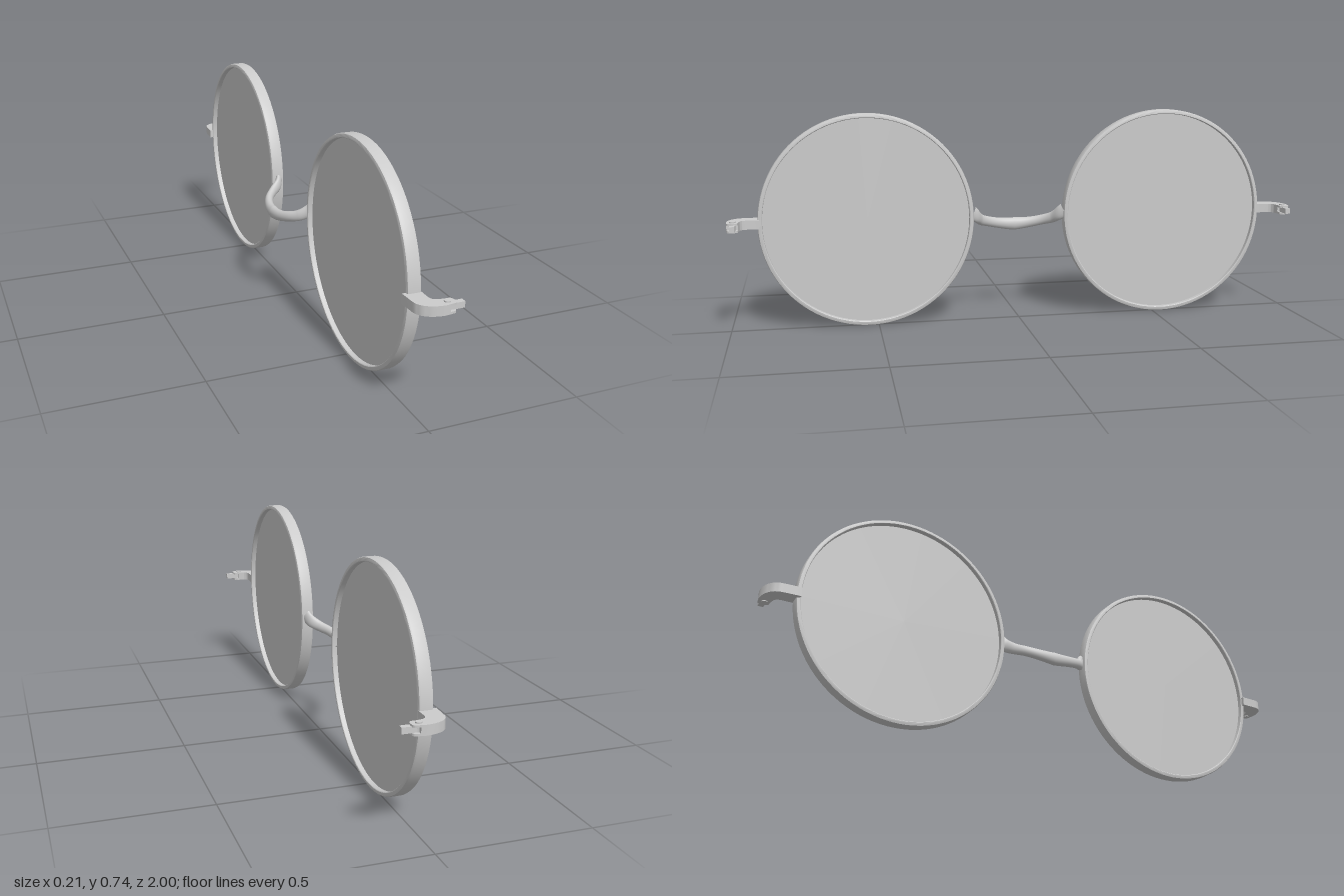
import * as THREE from 'three';
import { toCreasedNormals } from 'three/addons/utils/BufferGeometryUtils.js';
import { ParametricGeometry } from 'three/addons/geometries/ParametricGeometry.js';

const RIM_Y = 0.371, RIM_Z = 0.531, RIM_X = -0.0075;
const grey = new THREE.MeshStandardMaterial({ color: 0xcccccc });

function part(name, geometry, parent) {
  const mesh = new THREE.Mesh(geometry, grey);
  mesh.name = name;
  parent.add(mesh);
  return mesh;
}

// Flat outline in x (forward) and z (outward), thickened between two heights
function slab(shape, bottom, top) {
  const g = new THREE.ExtrudeGeometry(shape, { depth: top - bottom, bevelEnabled: false, curveSegments: 10 });
  g.rotateX(Math.PI / 2);
  g.translate(0, top, 0);
  return toCreasedNormals(g, 0.6);
}

// Round wire frame: closed profile turned about the x axis
function rimGeometry() {
  const r = 0.369, ri = 0.354, h = 0.0225;
  const profile = [
    [ri, -h + 0.002], [ri + 0.002, -h], [r - 0.007, -h], [r - 0.002, -h + 0.002], [r, -h + 0.007],
    [r, h - 0.007], [r - 0.002, h - 0.002], [r - 0.007, h], [ri + 0.002, h], [ri, h - 0.002], [ri, -h + 0.002],
  ].map(([x, y]) => new THREE.Vector2(x, y));
  const g = new THREE.LatheGeometry(profile, 96);
  g.rotateZ(-Math.PI / 2);
  return toCreasedNormals(g, 0.7);
}

// Saddle bridge: oval section swept along an arched path, flattened at its ends
function bridgeGeometry() {
  const half = [[-0.082, 0.333, 0.055], [-0.066, 0.343, 0.1], [-0.042, 0.354, 0.13], [-0.014, 0.372, 0.15], [-0.002, 0.388, 0.168]];
  const toVec = ([x, y, z], s) => new THREE.Vector3(x, y, z * s);
  const path = new THREE.CatmullRomCurve3([
    ...half.map((p) => toVec(p, -1)).reverse(),
    new THREE.Vector3(-0.087, 0.328, 0),
    ...half.map((p) => toVec(p, 1)),
  ]);
  const up = new THREE.Vector3(0, 1, 0);
  return new ParametricGeometry((u, v, target) => {
    const t = THREE.MathUtils.clamp(v, 0, 1);
    const tangent = path.getTangentAt(t);
    const side = tangent.clone().cross(up).normalize();
    const rise = tangent.clone().cross(side);
    const e = Math.abs(2 * t - 1);
    const a = THREE.MathUtils.lerp(0.017, 0.011, e);
    const b = 0.023 - 0.006 * Math.sin(e * Math.PI) + 0.002 * e;
    const angle = u * Math.PI * 2;
    target.copy(path.getPointAt(t))
      .addScaledVector(side, a * Math.cos(angle))
      .addScaledVector(rise, b * Math.sin(angle));
  }, 20, 64);
}

// Curved lug with a forked hinge, drawn on the +z side
function addEndPiece(parent) {
  const lug = new THREE.Shape();
  lug.moveTo(-0.042, 0.888);
  lug.lineTo(0.015, 0.888);
  lug.lineTo(0.015, 0.935);
  lug.quadraticCurveTo(0.017, 0.955, 0.035, 0.957);
  lug.lineTo(0.052, 0.96);
  lug.lineTo(0.052, 0.998);
  lug.lineTo(0.035, 1.0);
  lug.bezierCurveTo(-0.01, 0.998, -0.039, 0.975, -0.039, 0.945);
  lug.closePath();
  part('endPiece', slab(lug, 0.356, 0.387), parent);

  const prong = new THREE.Shape();
  prong.moveTo(0.05, 0.96);
  prong.lineTo(0.066, 0.96);
  prong.quadraticCurveTo(0.075, 0.962, 0.075, 0.978);
  prong.quadraticCurveTo(0.075, 0.993, 0.066, 0.996);
  prong.lineTo(0.05, 0.998);
  prong.closePath();
  part('lowerHingeProng', slab(prong, 0.356, 0.363), parent);
  part('upperHingeProng', slab(prong, 0.38, 0.387), parent);

  const tongue = part('hingeTongue', new THREE.BoxGeometry(0.05, 0.019, 0.018), parent);
  tongue.position.set(0.078, 0.372, 0.977);
  const screw = part('hingeScrew', toCreasedNormals(new THREE.CylinderGeometry(0.01, 0.01, 0.038, 20), 0.6), parent);
  screw.position.set(0.051, 0.372, 0.978);
}

export function createModel() {
  const model = new THREE.Group();
  model.name = 'roundSpectacles';
  const rim = rimGeometry();
  const lens = new THREE.CylinderGeometry(0.357, 0.357, 0.01, 96);
  lens.rotateZ(-Math.PI / 2);

  for (const [name, s] of [['left', 1], ['right', -1]]) {
    const side = new THREE.Group();
    side.name = name + 'Side';
    part('rim', rim, side).position.set(RIM_X, RIM_Y, RIM_Z);
    part('lens', lens, side).position.set(RIM_X, RIM_Y, RIM_Z);
    addEndPiece(side);
    side.scale.z = s;
    model.add(side);
  }
  part('bridge', bridgeGeometry(), model);
  return model;
}
